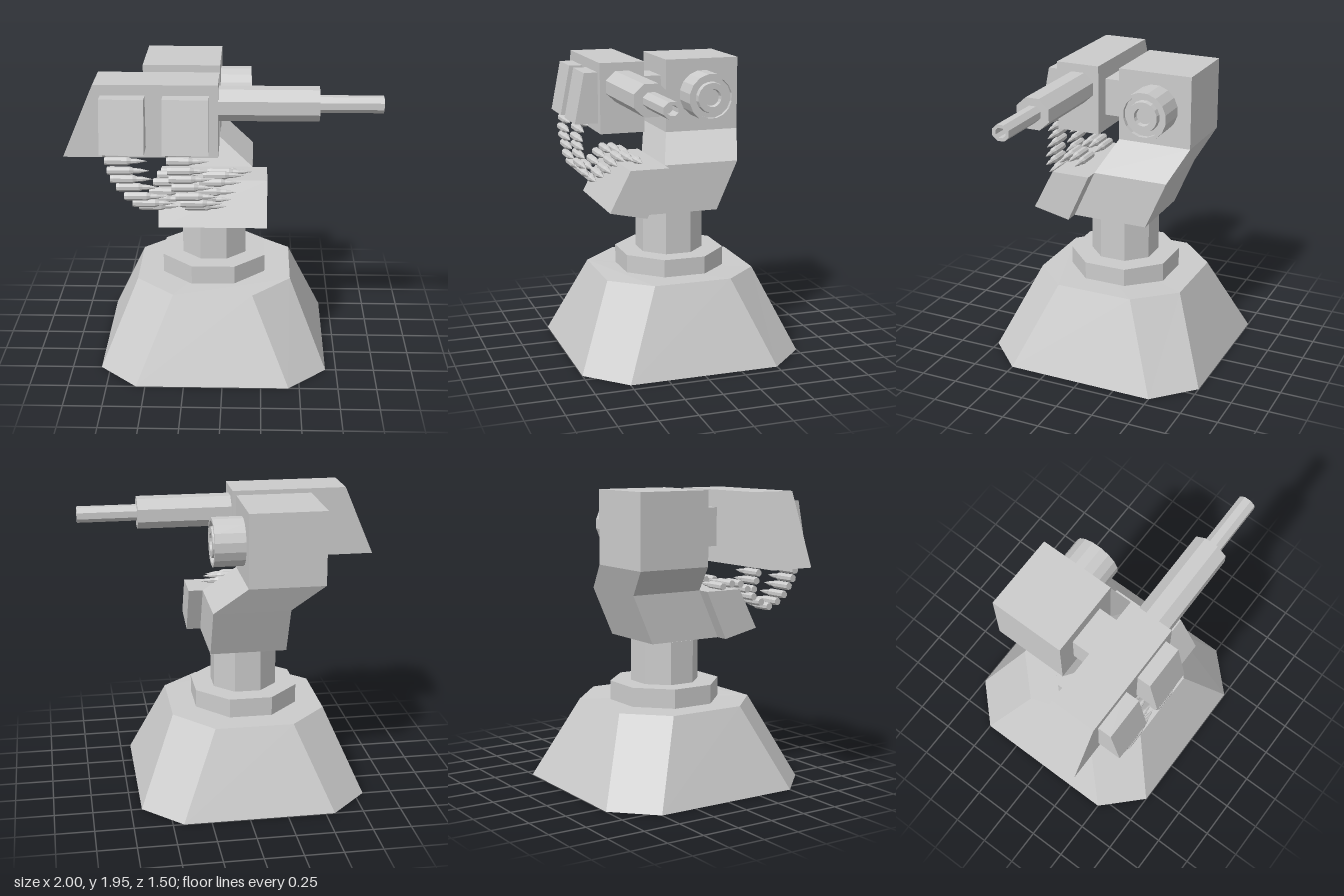
import * as THREE from 'three';

const material = new THREE.MeshStandardMaterial({ color: 0xcccccc, flatShading: true });

function add(parent, name, geometry, x = 0, y = 0, z = 0) {
  const mesh = new THREE.Mesh(geometry, material);
  mesh.name = name;
  mesh.position.set(x, y, z);
  parent.add(mesh);
  return mesh;
}

// Closed solid through rings of [x, y, z] corners, counterclockwise from above, bottom to top
function loft(rings) {
  const pos = [];
  const tri = (...corners) => corners.forEach((c) => pos.push(...c));
  const n = rings[0].length;
  for (let r = 0; r < rings.length - 1; r++) {
    for (let i = 0; i < n; i++) {
      const j = (i + 1) % n, a = rings[r], b = rings[r + 1];
      tri(a[i], a[j], b[j]);
      tri(a[i], b[j], b[i]);
    }
  }
  const low = rings[0], top = rings[rings.length - 1];
  for (let i = 1; i < n - 1; i++) {
    tri(low[0], low[i + 1], low[i]);
    tri(top[0], top[i], top[i + 1]);
  }
  const geometry = new THREE.BufferGeometry();
  geometry.setAttribute('position', new THREE.Float32BufferAttribute(pos, 3));
  geometry.computeVertexNormals();
  return geometry;
}

const rectRing = (y, x0, x1, z0, z1) => [[x0, y, z1], [x1, y, z1], [x1, y, z0], [x0, y, z0]];

// Rectangle with cut corners
function octRing(y, x0, x1, z, cut) {
  return [
    [x0 + cut, y, z], [x1 - cut, y, z], [x1, y, z - cut], [x1, y, cut - z],
    [x1 - cut, y, -z], [x0 + cut, y, -z], [x0, y, cut - z], [x0, y, z - cut],
  ];
}

function extrude(points, depth) {
  const shape = new THREE.Shape(points.map(([a, b]) => new THREE.Vector2(a, b)));
  return new THREE.ExtrudeGeometry(shape, { depth, bevelEnabled: false });
}

// Prism with a [z, y] profile spanning x0 to x1
const prismX = (points, x0, x1) =>
  extrude(points, x1 - x0).rotateY(-Math.PI / 2).translate(x1, 0, 0);

// Turned part along +x from [radius, x] points
function turned(points, sides) {
  const profile = points.map(([r, x]) => new THREE.Vector2(r, x));
  return new THREE.LatheGeometry(profile, sides, Math.PI / sides).rotateZ(-Math.PI / 2);
}

const octagon = (inradius, height) =>
  new THREE.CylinderGeometry(inradius * 1.082, inradius * 1.082, height, 8, 1, false, Math.PI / 8);

export function createModel() {
  const model = new THREE.Group();
  model.name = 'turret';

  // Pedestal; one top corner sits slightly high
  const baseTop = octRing(0.545, -0.575, 0.44, 0.51, 0.25);
  baseTop[3][1] = baseTop[2][1] = 0.557;
  add(model, 'base', loft([octRing(0, -0.81, 0.68, 0.75, 0.25), baseTop]));
  add(model, 'collar', octagon(0.34, 0.14), -0.07, 0.602, 0);
  add(model, 'post', octagon(0.21, 0.29), -0.07, 0.812, 0);

  // Leaning neck and front block
  add(model, 'neck', loft([
    rectRing(0.966, -0.32, 0.185, -0.255, 0.26),
    rectRing(1.29, -0.32, 0.185, -0.398, 0.11),
    rectRing(1.468, -0.53, -0.03, -0.475, 0.03),
  ]));
  add(model, 'ammoFeedBlock',
    prismX([[0.26, 0.966], [0.51, 1.02], [0.37, 1.29], [0.11, 1.29]], -0.41, 0.28));

  // Sensor head with lens
  add(model, 'head', new THREE.BoxGeometry(0.5, 0.485, 0.505), -0.28, 1.71, -0.2225);
  add(model, 'lens', turned([
    [0.16, 0], [0.16, 0.2], [0.137, 0.2], [0.137, 0.17], [0.105, 0.17],
    [0.1, 0.205], [0.06, 0.205], [0.055, 0.17], [0, 0.17],
  ], 16), -0.03, 1.715, -0.225);
  add(model, 'headBracket', new THREE.BoxGeometry(0.27, 0.25, 0.17), -0.275, 1.71, 0.107);

  // Gun housing and barrel
  add(model, 'gunHousing',
    extrude([[-1, 1.48], [-0.03, 1.48], [-0.03, 1.947], [-0.8, 1.947]], 0.302), 0, 0, 0.18);
  const barrel = add(model, 'barrel', turned([
    [0.1, -0.01], [0.11, 0], [0.11, 0.63], [0.05, 0.63],
  ], 8), -0.03, 1.79, 0.33);
  const muzzle = add(model, 'muzzle', turned([
    [0.055, 0], [0.055, 0.4], [0.033, 0.4], [0.033, 0.3], [0, 0.3],
  ], 8), 0.6, 1.79, 0.33);
  barrel.scale.z = muzzle.scale.z = 1.1;

  // Ammo pods, each with a hanging belt of rounds
  const podProfile = [[0.47, 1.545], [0.64, 1.545], [0.573, 1.88], [0.47, 1.88]];
  const beltPath = [
    [0.545, 1.53], [0.58, 1.49], [0.59, 1.43], [0.588, 1.375], [0.585, 1.32],
    [0.585, 1.26], [0.57, 1.21], [0.53, 1.175], [0.485, 1.205], [0.445, 1.24],
    [0.41, 1.29], [0.37, 1.325], [0.315, 1.327], [0.26, 1.31],
  ];
  const round = turned([
    [0, 0], [0.024, 0], [0.027, 0.02], [0.027, 0.14], [0.017, 0.165], [0.015, 0.2], [0, 0.265],
  ], 8);
  const belts = [
    { name: 'rear', x0: -0.755, x1: -0.48, path: [-0.745, -0.69, -0.54, -0.45, -0.38] },
    { name: 'front', x0: -0.37, x1: -0.085, path: [-0.355, -0.33, -0.25, -0.16, -0.08] },
  ];
  for (const { name, x0, x1, path } of belts) {
    add(model, name + 'AmmoPod', prismX(podProfile, x0, x1));
    const belt = new THREE.Group();
    belt.name = name + 'AmmoBelt';
    model.add(belt);
    const curve = new THREE.CatmullRomCurve3(path.map((x) => new THREE.Vector3(x, 0, 0)));
    beltPath.forEach(([z, y], i) => {
      const x = curve.getPoint(i / (beltPath.length - 1)).x;
      add(belt, 'round', round, x, y, z);
    });
  }
  return model;
}
